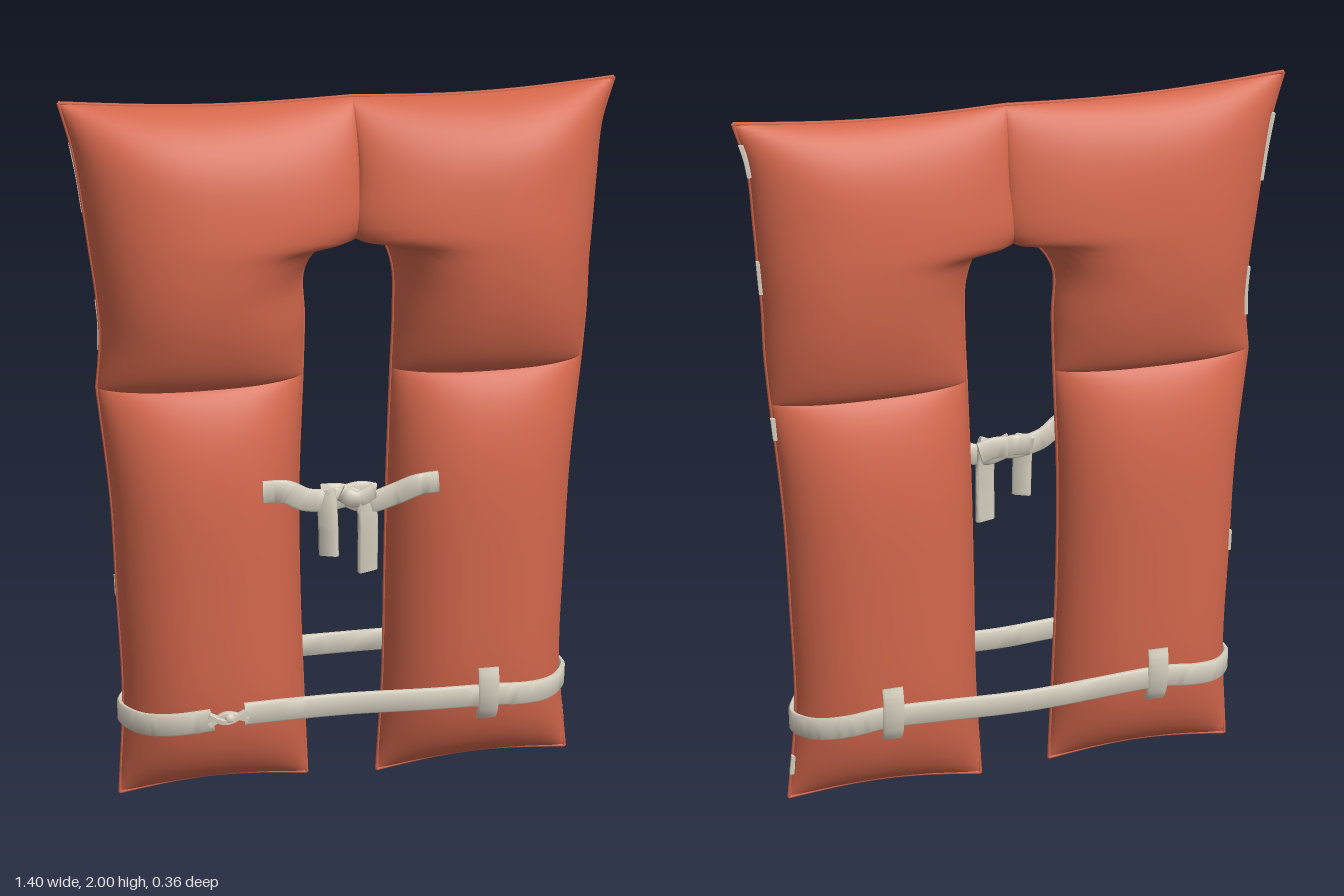
import * as THREE from 'three';
import { toCreasedNormals } from 'three/addons/utils/BufferGeometryUtils.js';

const V = (x, y, z = 0) => new THREE.Vector3(x, y, z);
const SEAM_Z = -0.015;
const lens = (t, n, m) => Math.pow(Math.max(0, 1 - Math.pow(Math.abs(2 * t - 1), n)), m);
const curve = (pts) => new THREE.CatmullRomCurve3(pts.map((p) => V(...p)));

function buildGeometry(pos, idx) {
  const g = new THREE.BufferGeometry();
  g.setAttribute('position', new THREE.Float32BufferAttribute(pos, 3));
  g.setIndex(idx);
  g.computeVertexNormals();
  return g;
}

// Cushion surface: u runs outer edge to inner edge, v runs from the fold to the free end.
function cushionSurface({ outer, inner, front, back, power, round, sag, seamFrom = 2 }) {
  const a = curve(outer), b = curve(inner);
  return (u, v, side) => {
    const p = a.getPoint(v).lerp(b.getPoint(v), u);
    p.y += sag * Math.sin(Math.PI * u) * Math.pow(v, 8);
    const full = side > 0 ? front : back;
    const fold = (side > 0 ? 0.065 : 0.045) / full;
    let across = lens(u, 2.5, 0.62);
    const e = 0.55 * THREE.MathUtils.smoothstep(v, seamFrom, seamFrom + 0.26);
    if (u > 0.5) across = e + (1 - e) * across;
    let along = lens(v, power, round);
    if (v < 0.5) along = fold + (1 - fold) * along;
    p.z = SEAM_Z + side * full * across * along;
    return p;
  };
}

function cushionGeometry(surface, flip) {
  const nu = 24, nv = 36, pos = [], idx = [];
  const ease = (t) => (1 - Math.cos(Math.PI * t)) / 2;
  const patch = (n, point, reverse) => {
    const base = pos.length / 3;
    for (let j = 0; j <= nv; j++)
      for (let i = 0; i <= n; i++) pos.push(...point(i / n, ease(j / nv)).toArray());
    for (let j = 0; j < nv; j++)
      for (let i = 0; i < n; i++) {
        const a = base + j * (n + 1) + i, b = a + 1, c = a + n + 1, d = c + 1;
        if (reverse) idx.push(a, d, b, a, c, d);
        else idx.push(a, b, d, a, d, c);
      }
  };
  patch(nu, (s, v) => surface(ease(s), v, 1), flip);
  patch(nu, (s, v) => surface(ease(s), v, -1), !flip);
  // Wall joining front and back along the inner edge
  patch(1, (s, v) => surface(1, v, 1).lerp(surface(1, v, -1), s), flip);
  return buildGeometry(pos, idx);
}

// Flat webbing swept along a path, its width kept close to the given direction.
function ribbon(points, width, widthDir = V(0, 1, 0), thick = 0.016, steps = points.length * 6) {
  const path = new THREE.CatmullRomCurve3(points);
  const section = [[1, 0.4], [0.8, 1], [-0.8, 1], [-1, 0.4], [-1, -0.4], [-0.8, -1], [0.8, -1], [1, -0.4]];
  const pos = [], idx = [], n = section.length;
  for (let k = -1; k <= steps + 1; k++) {
    const t = THREE.MathUtils.clamp(k / steps, 0, 1);
    const s = k < 0 || k > steps ? 0.001 : 0.5;
    const c = path.getPoint(t), tan = path.getTangent(t);
    const w = widthDir.clone().addScaledVector(tan, -widthDir.dot(tan)).normalize();
    const nor = tan.clone().cross(w);
    for (const [a, b] of section)
      pos.push(...c.clone().addScaledVector(w, a * s * width).addScaledVector(nor, b * s * thick).toArray());
  }
  for (let i = 0; i < steps + 2; i++)
    for (let j = 0; j < n; j++) {
      const a = i * n + j, b = i * n + (j + 1) % n;
      idx.push(a, b, a + n, b, b + n, a + n);
    }
  return toCreasedNormals(buildGeometry(pos, idx), 0.9);
}

export function createModel() {
  const group = new THREE.Group();
  const fabric = new THREE.MeshStandardMaterial({ color: 0xd4674c, side: THREE.DoubleSide });
  fabric.name = 'orange fabric';
  const webbing = new THREE.MeshStandardMaterial({ color: 0xd6cfbf });
  webbing.name = 'ivory webbing';
  const add = (name, geometry, material) => {
    const m = new THREE.Mesh(geometry, material);
    m.name = name;
    group.add(m);
    return m;
  };

  // Four cushions: an upper and a lower one on each side
  const upper = { front: 0.195, back: 0.137, power: 2.6, round: 0.6, sag: -0.015, seamFrom: 0.5 };
  const lower = { front: 0.17, back: 0.135, power: 4, round: 0.8, sag: 0.025 };
  const rightUpper = cushionSurface({ ...upper,
    outer: [[-0.635, 1.24], [-0.62, 1.38], [-0.625, 1.5], [-0.637, 1.62], [-0.65, 1.75], [-0.667, 1.88], [-0.695, 1.995]],
    inner: [[-0.105, 1.24], [-0.1, 1.4], [-0.1, 1.53], [-0.05, 1.605], [0.02, 1.63], [0.03, 1.8], [0.025, 1.975]] });
  const leftUpper = cushionSurface({ ...upper,
    outer: [[0.638, 1.24], [0.645, 1.38], [0.645, 1.5], [0.65, 1.62], [0.655, 1.75], [0.663, 1.88], [0.692, 1.99]],
    inner: [[0.13, 1.24], [0.135, 1.4], [0.13, 1.53], [0.1, 1.6], [0.02, 1.63], [0.03, 1.8], [0.025, 1.975]] });
  const rightLower = cushionSurface({ ...lower,
    outer: [[-0.635, 1.24], [-0.612, 0.93], [-0.607, 0.63], [-0.603, 0.32], [-0.625, 0.012]],
    inner: [[-0.105, 1.24], [-0.118, 0.93], [-0.118, 0.63], [-0.11, 0.32], [-0.1, 0.02]] });
  const leftLower = cushionSurface({ ...lower,
    outer: [[0.638, 1.24], [0.618, 0.93], [0.613, 0.63], [0.613, 0.32], [0.645, 0.025]],
    inner: [[0.13, 1.24], [0.122, 0.93], [0.118, 0.63], [0.115, 0.32], [0.1, 0.006]] });

  for (const [name, surface, flip, innerEnd, tapes] of [
    ['rightUpper', rightUpper, false, 0.48, [[0.12, 0.3], [0.62, 0.85]]],
    ['leftUpper', leftUpper, true, 0.48, [[0.4, 0.52], [0.8, 0.92]]],
    ['rightLower', rightLower, true, 1, [[0.45, 0.5]]],
    ['leftLower', leftLower, false, 1, [[0.03, 0.08], [0.88, 0.93]]]]) {
    add(name + 'Cushion', cushionGeometry(surface, flip), fabric);
    // Thin piping along the side and end seams
    const edges = [(t) => surface(0, t, 1), (t) => surface(t, 1, 1), (t) => surface(1, t * innerEnd, 1)];
    edges.forEach((edge, k) => {
      const pts = Array.from({ length: 13 }, (_, i) => edge(i / 12));
      add(name + 'Piping' + k, new THREE.TubeGeometry(new THREE.CatmullRomCurve3(pts), 36, 0.005, 6), fabric);
    });
    // Short lengths of pale tape showing along the outer seam
    for (const [from, to] of tapes) {
      const pts = [from, (from + to) / 2, to].map((v) => surface(0, v, 1).add(V(0, 0, -0.008)));
      add(name + 'SeamTape', ribbon(pts, 0.012, V(0, 0, 1), 0.012), webbing);
    }
  }

  // Point lying just above a lower cushion
  const on = (surface, u, v, side, lift = 0.009) => {
    const p = surface(u, v, side);
    p.z += side * lift * Math.min(1, u * 10);
    p.x += Math.sign(p.x) * 0.009 * Math.max(0, 1 - 4 * u);
    return p;
  };
  const us = [0.45, 0.25, 0.12, 0.04];
  const beltV = (u, side) => 0.785 - (side > 0 ? 0.035 : 0.045) * Math.min(1, u * 2.5);
  const wrap = (surface, side) => us.map((u) => on(surface, u, beltV(u, side), side));
  const rim = (surface) => on(surface, 0, 0.785, 1);

  // Belt: round both sides and the back, open at the front right
  add('waistBelt', ribbon([
    ...wrap(rightLower, 1), rim(rightLower), ...wrap(rightLower, -1).reverse(),
    V(0, 0.335, -0.174),
    ...wrap(leftLower, -1), rim(leftLower), ...wrap(leftLower, 1).reverse(),
    V(0.22, 0.33, 0.162), V(0, 0.333, 0.152), V(-0.17, 0.337, 0.158), V(-0.295, 0.337, 0.162),
  ], 0.066, V(0, 1, 0), 0.016, 150), webbing);

  // Narrow knotted cords joining the belt ends
  for (const s of [1, -1])
    add('beltCord', ribbon([V(-0.39, 0.325 + 0.015 * s, 0.16), V(-0.345, 0.33 - 0.008 * s, 0.164 + 0.004 * s),
      V(-0.285, 0.335 + 0.012 * s, 0.164)], 0.016), webbing);
  const knot = add('beltKnot', new THREE.SphereGeometry(0.016, 10, 8), webbing);
  knot.position.set(-0.335, 0.33, 0.163);

  // Vertical belt loops: one in front, two at the back
  for (const [surface, side, mid] of [[leftLower, 1, 0.748], [leftLower, -1, 0.735], [rightLower, -1, 0.735]]) {
    const pts = [-0.068, -0.045, 0, 0.045, 0.068].map((d, i) =>
      on(surface, 0.48, mid + d, side, [0.002, 0.013, 0.019, 0.013, 0.002][i]));
    add('beltLoop', ribbon(pts, 0.056, V(1, 0, 0), 0.014), webbing);
  }

  // Chest tie: two straps crossing at the middle, each with a hanging tail
  add('rightChestTie', ribbon([V(-0.235, 0.99, 0.157), V(-0.18, 0.99, 0.16), V(-0.12, 0.955, 0.148),
    V(-0.05, 0.945, 0.135), V(0.02, 0.955, 0.128), V(0.06, 0.945, 0.125)], 0.062), webbing);
  add('leftChestTie', ribbon([V(0.225, 0.982, 0.155), V(0.17, 0.978, 0.157), V(0.11, 0.95, 0.145),
    V(0.04, 0.93, 0.14), V(-0.03, 0.955, 0.13), V(-0.08, 0.955, 0.125)], 0.06), webbing);
  add('chestKnot', ribbon([V(-0.03, 0.965, 0.142), V(0.01, 0.945, 0.148), V(0.06, 0.965, 0.142)], 0.045), webbing);
  add('rightTieTail', ribbon([V(-0.07, 0.975, 0.138), V(-0.066, 0.92, 0.148), V(-0.063, 0.79, 0.15)],
    0.052, V(1, 0, 0.4)), webbing);
  add('leftTieTail', ribbon([V(0.035, 0.965, 0.138), V(0.04, 0.9, 0.145), V(0.042, 0.73, 0.14)],
    0.056, V(1, 0, -0.3)), webbing);

  return group;
}
